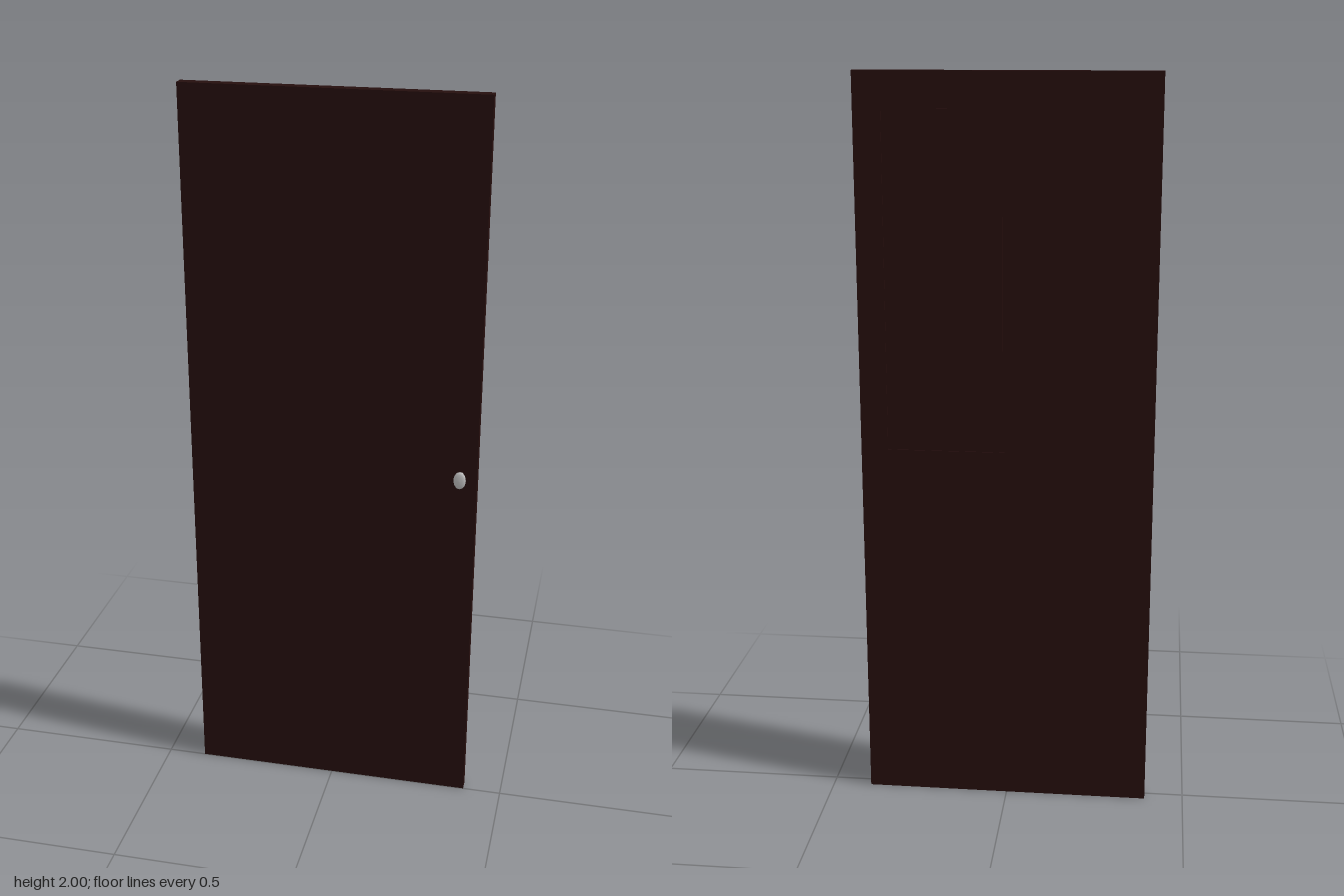
import * as THREE from 'three';

export function createModel() {
  const wood = new THREE.MeshStandardMaterial({ color: 0x250e0d });
  wood.name = 'dark wood';
  const metal = new THREE.MeshStandardMaterial({ color: 0xbcbcbc });
  metal.name = 'knob metal';

  const group = new THREE.Group();
  const W = 0.786, H = 2, groove = 0.004, depth = 0.003;
  const add = (name, geometry, material, x, y, z) => {
    const mesh = new THREE.Mesh(geometry, material);
    mesh.name = name;
    mesh.position.set(x, y, z);
    group.add(mesh);
    return mesh;
  };

  // Main slab, front face on z = 0
  add('doorSlab', new THREE.BoxGeometry(W, H, 0.028), wood, 0, H / 2, -0.014);

  // Back skin with a rectangular opening for the panel
  const panel = { x: 0.163, y: 1.46, w: 0.315, h: 0.9 };
  const rect = (Type, x, y, w, h) => new Type([
    new THREE.Vector2(x - w / 2, y - h / 2),
    new THREE.Vector2(x + w / 2, y - h / 2),
    new THREE.Vector2(x + w / 2, y + h / 2),
    new THREE.Vector2(x - w / 2, y + h / 2),
  ]);
  const skin = rect(THREE.Shape, 0, H / 2, W, H);
  skin.holes.push(rect(THREE.Path, panel.x, panel.y, panel.w, panel.h));
  add('backSkin', new THREE.ExtrudeGeometry(skin, { depth, bevelEnabled: false }),
    wood, 0, 0, -0.031);

  // Panel set in the opening, leaving a fine groove around it
  add('backPanel', new THREE.BoxGeometry(panel.w - 2 * groove, panel.h - 2 * groove, depth),
    wood, panel.x, panel.y, -0.028 - depth / 2);

  // Oval knob: narrow neck flaring to a rounded head
  const profile = [
    [0.0095, 0], [0.009, 0.008], [0.0098, 0.013], [0.0125, 0.0165],
    [0.0155, 0.0195], [0.0163, 0.023], [0.0155, 0.0265], [0.0125, 0.029],
    [0.007, 0.0303], [0, 0.0307],
  ].map(([r, y]) => new THREE.Vector2(r, y));
  const knob = add('doorKnob', new THREE.LatheGeometry(profile, 24), metal, 0.35, 1, 0);
  knob.rotation.x = Math.PI / 2;
  knob.scale.z = 1.5;

  return group;
}
